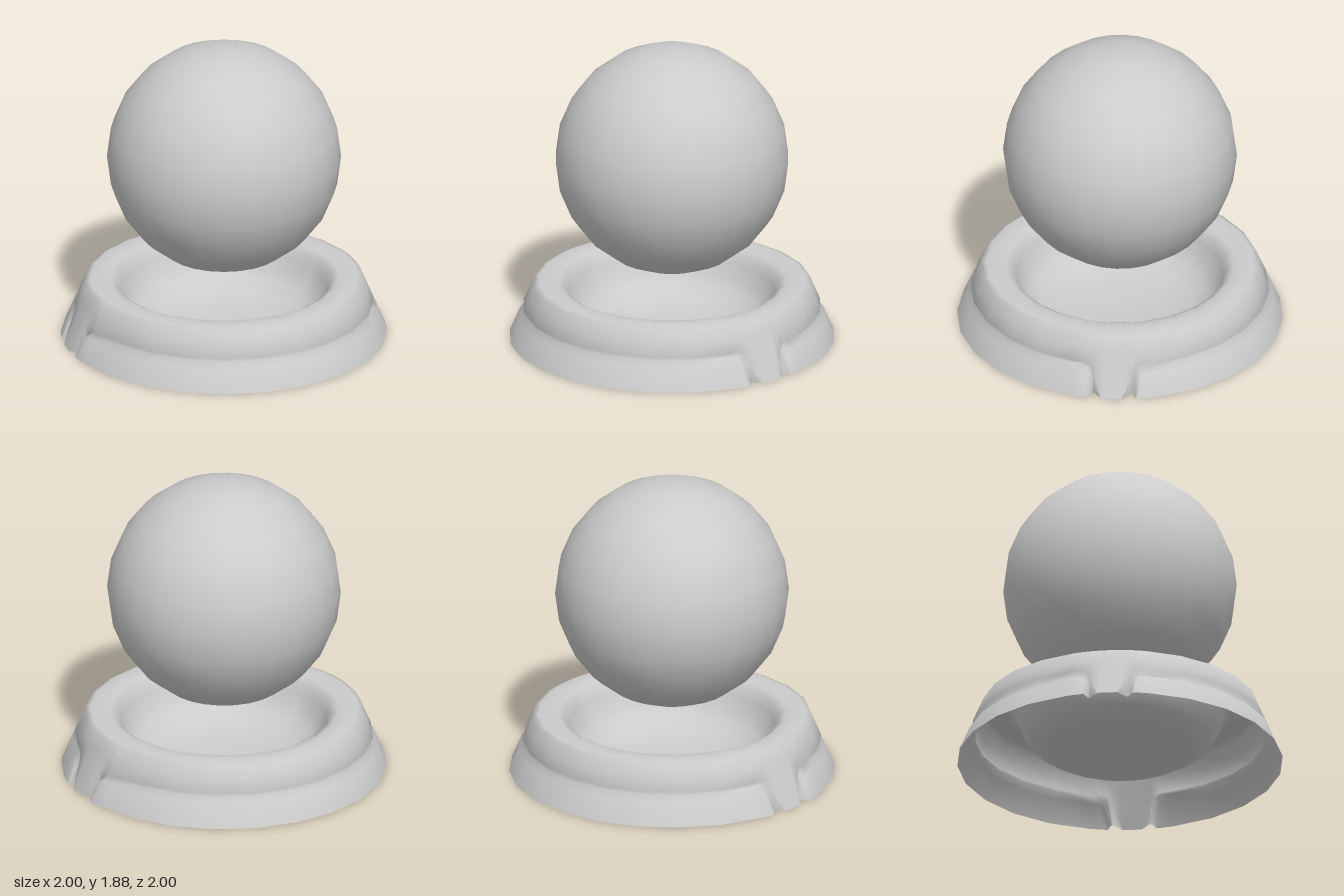
import * as THREE from 'three';

const TOP = 0.355;
const outerRadius = (y) => 1 - 0.42 * y; // sloping outer wall
const lerp = THREE.MathUtils.mapLinear;

// piecewise linear interpolation through [x, y] knots
function ramp(x, knots) {
  if (x <= knots[0][0]) return knots[0][1];
  for (let i = 1; i < knots.length; i++) {
    const [x0, y0] = knots[i - 1], [x1, y1] = knots[i];
    if (x <= x1) return lerp(x, x0, x1, y0, y1);
  }
  return knots[knots.length - 1][1];
}

// rounded rim, then down into the bowl: [radius, height]
const RIM_AND_BOWL = [
  [0.82, 0.366], [0.76, 0.37], [0.7, 0.364], [0.66, 0.342], [0.635, 0.28], [0.6, 0.2],
  [0.55, 0.135], [0.47, 0.085], [0.36, 0.055], [0.2, 0.035], [0, 0.03],
];

// one radial section; s is the angular distance from the nearest side tab
function section(s) {
  const notch = ramp(s, [[0.06, 0], [0.09, 0.035], [0.12, 0.065], [0.135, 0.06], [0.15, 0]]);
  const lip = ramp(s, [[0.15, 0], [0.165, 0.08], [0.18, 0.125], [0.21, 0.142]]);
  const groove = ramp(s, [[0.11, 0], [0.135, 0.08], [0.16, 0.145], [0.2, 0.168]]);
  const upper = ramp(s, [[0.06, 0], [0.09, 0.06], [0.12, 0.14], [0.15, 0.185], [0.2, 0.2]]);
  const grooveDepth = s < 0.12 ? notch : 0.04;
  return [
    [outerRadius(0) - notch, 0],
    [outerRadius(lip) - notch, lip],
    [outerRadius(groove) - grooveDepth, groove],
    [outerRadius(upper), upper],
    [outerRadius(0.28), 0.28],
    [outerRadius(TOP), TOP],
    ...RIM_AND_BOWL,
  ];
}

// section angles: regular steps, refined around the two side tabs
function sectionAngles() {
  const quarter = [0, 0.06, 0.09, 0.11, 0.12, 0.135, 0.15, 0.165, 0.18, 0.21];
  for (let i = 1; i <= 6; i++) quarter.push((i * Math.PI) / 12);
  const half = [...quarter, ...quarter.slice(1, -1).reverse().map((a) => Math.PI - a)];
  return [...half, Math.PI, ...half.slice(1).map((a) => a + Math.PI)];
}

function baseGeometry() {
  const angles = sectionAngles();
  const positions = [], index = [];
  let rows = 0;
  for (const a of angles) {
    const s = Math.min(a % Math.PI, Math.PI - (a % Math.PI));
    const points = section(s);
    rows = points.length;
    for (const [r, y] of points) positions.push(r * Math.cos(a), y, r * Math.sin(a));
  }
  for (let i = 0; i < angles.length; i++) {
    const p = i * rows, q = ((i + 1) % angles.length) * rows;
    for (let j = 0; j < rows - 1; j++) {
      index.push(p + j, p + j + 1, q + j, q + j, p + j + 1, q + j + 1);
    }
  }
  const geometry = new THREE.BufferGeometry();
  geometry.setAttribute('position', new THREE.Float32BufferAttribute(positions, 3));
  geometry.setIndex(index);
  geometry.computeVertexNormals();
  return geometry;
}

export function createModel() {
  const group = new THREE.Group();
  group.name = 'floatingBallOnStand';

  // hollow stand: grooved skirt with side tabs, rounded rim and bowl
  const stand = new THREE.Mesh(
    baseGeometry(),
    new THREE.MeshStandardMaterial({ color: 0xcccccc, side: THREE.DoubleSide }),
  );
  stand.name = 'stand';
  group.add(stand);

  // ball hovering above the bowl
  const ball = new THREE.Mesh(
    new THREE.SphereGeometry(0.718, 24, 12),
    new THREE.MeshStandardMaterial({ color: 0xcccccc }),
  );
  ball.name = 'ball';
  ball.position.y = 1.167;
  group.add(ball);

  return group;
}
